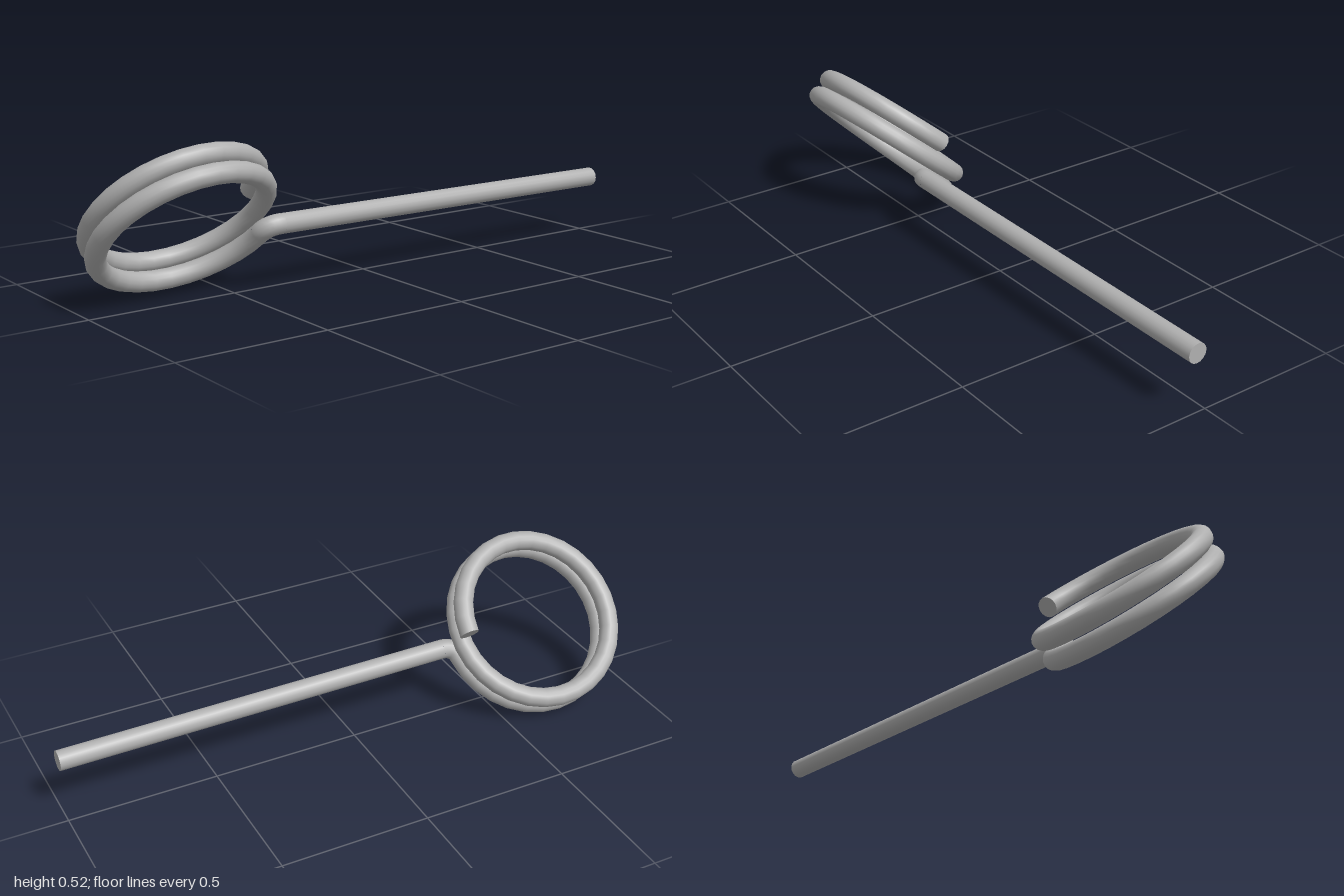
import * as THREE from 'three';

const WIRE = 0.033;      // wire radius
const RADIUS = 0.279;    // coil radius
const PITCH = 0.068;     // rise per turn
const CENTRE = new THREE.Vector3(0, 0.26, 0.688);
const SLOPE = THREE.MathUtils.degToRad(42.3);
const ACROSS = new THREE.Vector3(Math.cos(SLOPE), Math.sin(SLOPE), 0);
const AXIS = new THREE.Vector3(-Math.sin(SLOPE), Math.cos(SLOPE), 0);
const SIDES = 16;

// Tilted helix that starts and ends at the back of the ring
class Coil extends THREE.Curve {
  constructor(endAngle) {
    super();
    this.endAngle = endAngle;
  }
  getPoint(t, target = new THREE.Vector3()) {
    const a = t * this.endAngle;
    target.copy(CENTRE)
      .addScaledVector(ACROSS, RADIUS * Math.sin(a))
      .addScaledVector(AXIS, PITCH * (1 - a / (2 * Math.PI)));
    target.z -= RADIUS * Math.cos(a);
    return target;
  }
}

export function createModel() {
  const group = new THREE.Group();
  const metal = new THREE.MeshStandardMaterial({ color: 0xb0b0b0 });
  metal.name = 'grey metal';

  const add = (name, geometry) => {
    const mesh = new THREE.Mesh(geometry, metal);
    mesh.name = name;
    group.add(mesh);
    return mesh;
  };

  // Two turns of wire, stopping just short of the bend
  const coil = new Coil(4 * Math.PI - 0.14);
  add('coil', new THREE.TubeGeometry(coil, 60, WIRE, SIDES));

  // Flat cut at the free end of the coil
  const cut = add('coilEnd', new THREE.CircleGeometry(WIRE, SIDES));
  const start = coil.getPoint(0);
  cut.position.copy(start);
  cut.lookAt(start.clone().sub(coil.getTangent(0)));

  // Tight bend from the coil into the shank
  const bendStart = coil.getPoint(1);
  const corner = bendStart.clone().addScaledVector(coil.getTangent(1), 0.044);
  const shankEnd = new THREE.Vector3(0.043, 0.204, -1);
  const shankStart = corner.clone().lerp(shankEnd, 0.036);
  const bend = new THREE.QuadraticBezierCurve3(bendStart, corner, shankStart);
  add('bend', new THREE.TubeGeometry(bend, 8, WIRE, SIDES));

  // Long straight shank
  const along = shankEnd.clone().sub(shankStart);
  const shank = add('shank', new THREE.CylinderGeometry(WIRE, WIRE, along.length(), SIDES));
  shank.position.copy(shankStart).add(shankEnd).multiplyScalar(0.5);
  shank.quaternion.setFromUnitVectors(new THREE.Vector3(0, 1, 0), along.normalize());

  return group;
}
